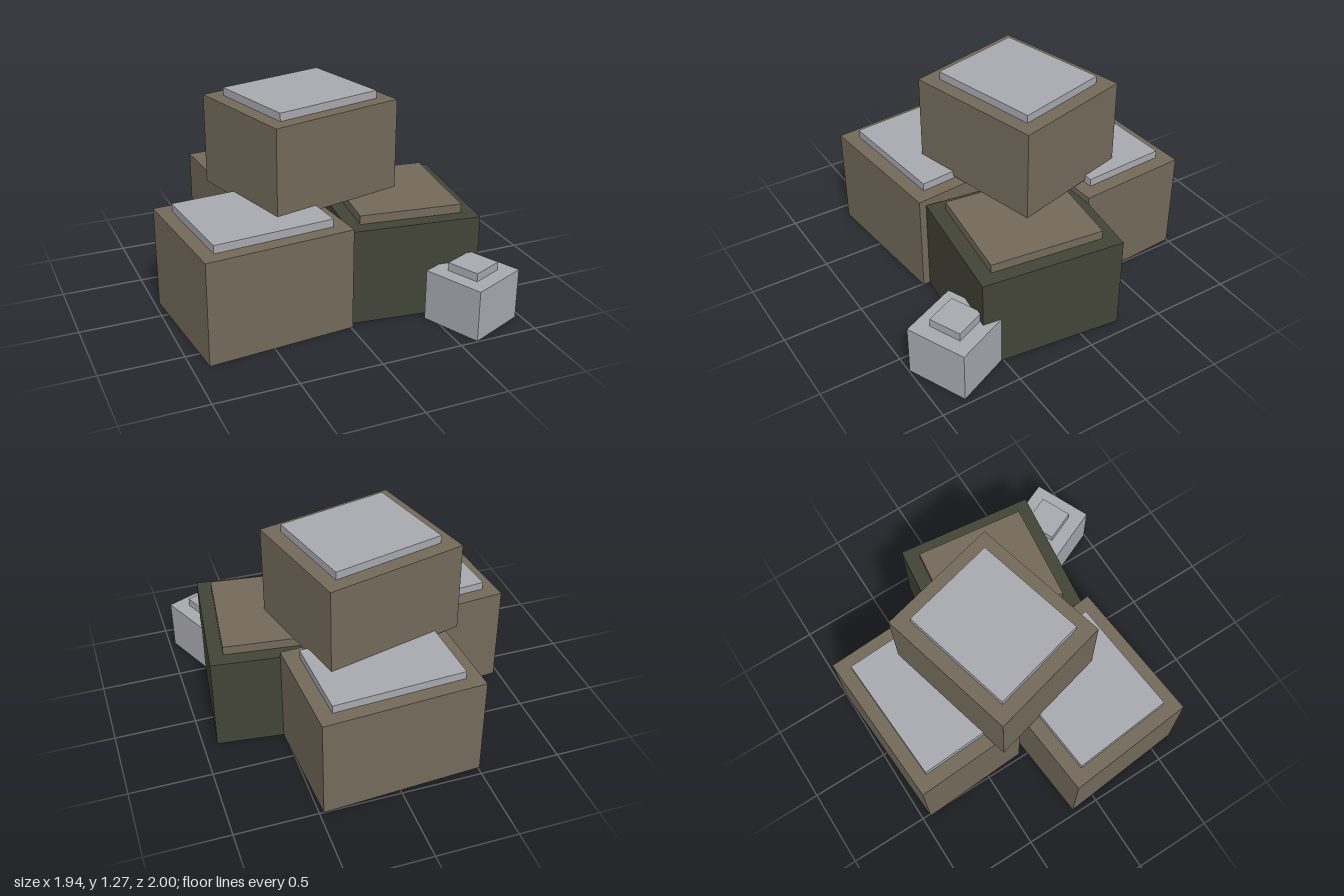
import * as THREE from 'three';

function material(name, color) {
  const m = new THREE.MeshStandardMaterial({ color });
  m.name = name;
  return m;
}

export function createModel() {
  const brown = material('brown rock', 0x736a5a);
  const dark = material('dark mossy rock', 0x434437);
  const grey = material('pale grey stone', 0xa8a9b0);

  const model = new THREE.Group();
  model.name = 'boulderPile';

  // Each boulder is a turned block with a smaller, thin slab centred on top.
  const boulders = [
    { name: 'leftBoulder', at: [-0.48, 0, 0.205], size: [0.915, 0.64, 0.813], turn: 5, cap: [0.743, 0.05, 0.635], mats: [brown, grey] },
    { name: 'backBoulder', at: [0, 0, -0.625], size: [0.986, 0.64, 0.7], turn: 3, cap: [0.806, 0.05, 0.53], mats: [brown, grey] },
    { name: 'rightBoulder', at: [0.463, 0, 0.138], size: [0.806, 0.602, 0.881], turn: -7, cap: [0.635, 0.055, 0.7], mats: [dark, brown] },
    { name: 'topBoulder', at: [-0.033, 0.657, -0.145], size: [0.885, 0.567, 0.777], turn: 14, cap: [0.706, 0.05, 0.6], mats: [brown, grey] },
    { name: 'smallStone', at: [0.71, 0, 0.74], size: [0.387, 0.322, 0.387], turn: 23.6, cap: [0.208, 0.052, 0.208], mats: [grey, grey] },
  ];

  for (const { name, at, size, turn, cap, mats } of boulders) {
    const boulder = new THREE.Group();
    boulder.name = name;
    boulder.position.set(...at);
    boulder.rotation.y = THREE.MathUtils.degToRad(turn);

    const block = new THREE.Mesh(new THREE.BoxGeometry(...size), mats[0]);
    block.name = 'block';
    block.position.y = size[1] / 2;

    const slab = new THREE.Mesh(new THREE.BoxGeometry(...cap), mats[1]);
    slab.name = 'capSlab';
    slab.position.y = size[1] + cap[1] / 2;

    boulder.add(block, slab);
    model.add(boulder);
  }
  return model;
}
